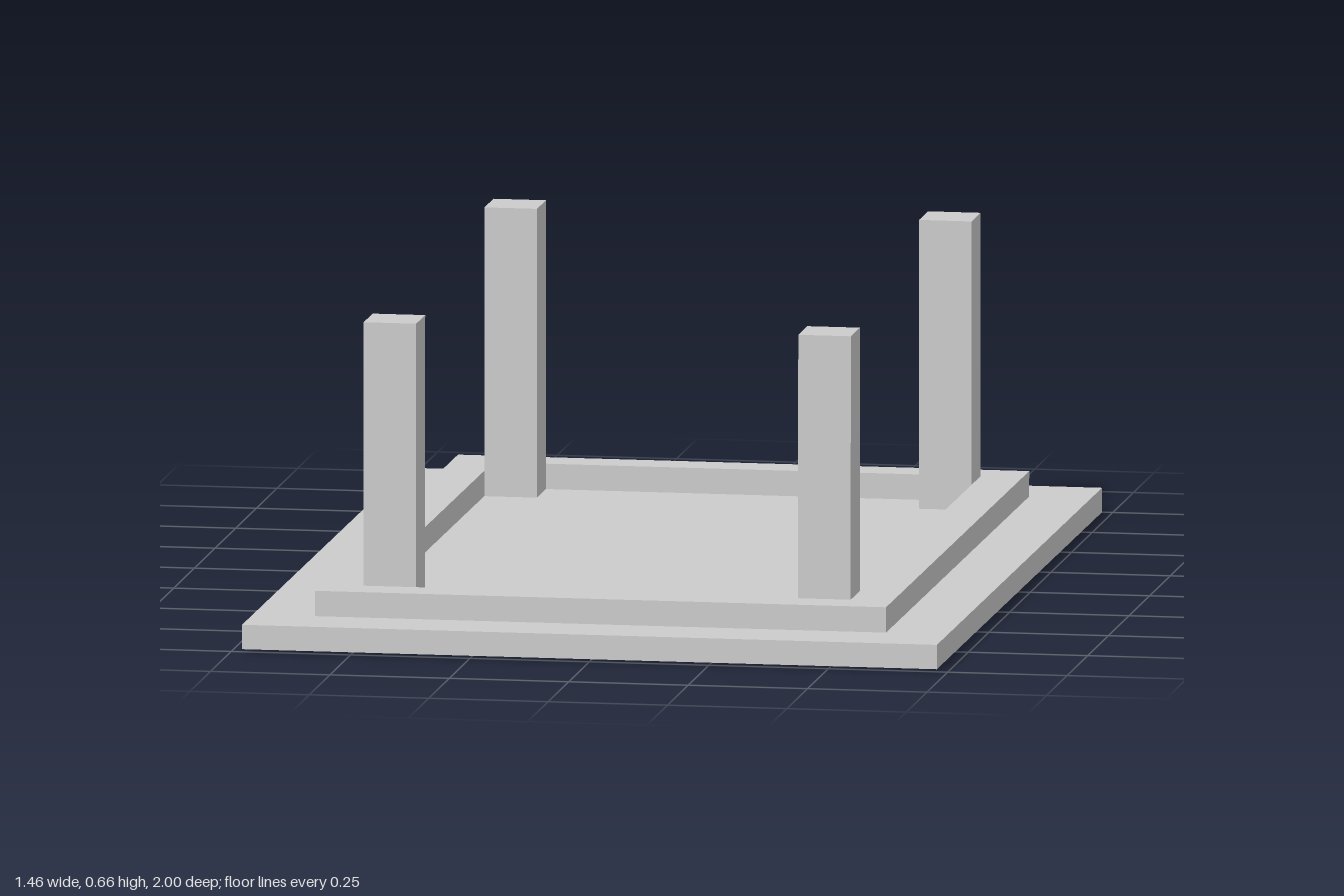
import * as THREE from 'three';

const material = new THREE.MeshStandardMaterial({ color: 0xcccccc, flatShading: true });

function box(name, w, h, d, x, bottom, z) {
  const mesh = new THREE.Mesh(new THREE.BoxGeometry(w, h, d), material);
  mesh.name = name;
  mesh.position.set(x, bottom + h / 2, z);
  return mesh;
}

// Table lying upside down on its top, legs in the air
export function createModel() {
  const model = new THREE.Group();
  model.name = 'upturnedTable';
  const table = new THREE.Group();
  table.name = 'table';

  const slab = 0.051, apronTop = 0.104, legTop = 0.655;
  const outX = 0.598, outZ = 0.867, inX = 0.51, inZ = 0.786, leg = 0.11;

  // Table top
  table.add(box('tableTop', 1.455, slab, 2, 0, 0, 0));

  // Apron frame, one continuous ring
  const ring = new THREE.Shape();
  ring.moveTo(-outX, -outZ).lineTo(outX, -outZ).lineTo(outX, outZ).lineTo(-outX, outZ).closePath();
  const hole = new THREE.Path();
  hole.moveTo(-inX, -inZ).lineTo(-inX, inZ).lineTo(inX, inZ).lineTo(inX, -inZ).closePath();
  ring.holes.push(hole);
  const apron = new THREE.Mesh(
    new THREE.ExtrudeGeometry(ring, { depth: apronTop - slab, bevelEnabled: false }).rotateX(-Math.PI / 2),
    material
  );
  apron.name = 'apron';
  apron.position.y = slab;
  table.add(apron);

  // Legs tucked into the inner corners of the apron
  for (const sz of [1, -1]) {
    for (const sx of [1, -1]) {
      const name = (sz > 0 ? 'front' : 'back') + (sx > 0 ? 'Left' : 'Right') + 'Leg';
      table.add(box(name, leg, legTop - slab, leg, sx * (inX - leg / 2), slab, sz * (inZ - leg / 2)));
    }
  }

  // Very slight tilt, front edge raised
  const tilt = 0.0027;
  table.rotation.x = -tilt;
  table.position.y = Math.sin(tilt);
  model.add(table);
  return model;
}
